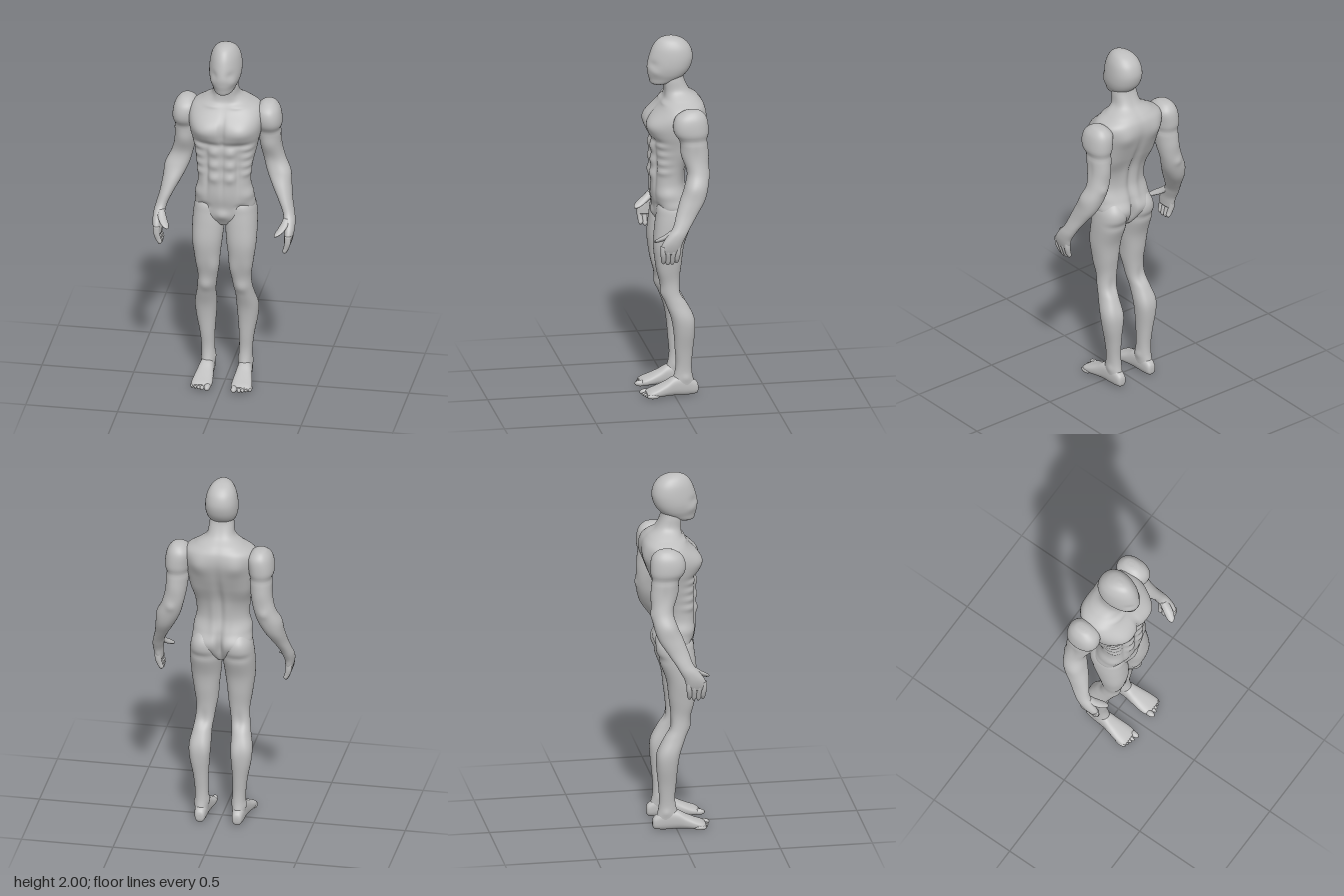
import * as THREE from 'three';

const skin = new THREE.MeshStandardMaterial({ color: 0xbebebe });
skin.name = 'grey skin';

// Smooth interpolation through rows of numbers
function sample(rows, u) {
  const i = Math.min(Math.floor(u), rows.length - 2), f = u - i;
  const at = k => rows[Math.max(0, Math.min(rows.length - 1, k))];
  const [a, b, c, d] = [at(i - 1), at(i), at(i + 1), at(i + 2)];
  return b.map((_, k) => b[k] + 0.5 * f * (c[k] - a[k]
    + f * (2 * a[k] - 5 * b[k] + 4 * c[k] - d[k] + f * (3 * (b[k] - c[k]) + d[k] - a[k]))));
}

// Loft of rounded sections. Row: [position, xMin, xMax, depthMin, depthMax].
// Bumps [x, y, z, rx, ry, rz, height] swell or groove the surface like muscles.
function loft(name, rows, { along = 'y', n = 2.2, taper = 0, bumps = [], side = 1, seg = 40, steps = 6 } = {}) {
  const pos = [], idx = [], rings = (rows.length - 1) * steps + 1;
  const pow = v => Math.sign(v) * Math.abs(v) ** (2 / n);
  const put = (x, t, d) => pos.push(x * side, ...(along === 'y' ? [t, d] : [d, t]));
  for (let r = 0; r < rings; r++) {
    const [t, x0, x1, d0, d1] = sample(rows, r / steps);
    const cx = (x0 + x1) / 2, cd = (d0 + d1) / 2;
    for (let s = 0; s < seg; s++) {
      const a = s / seg * Math.PI * 2, c = pow(Math.cos(a)), q = pow(Math.sin(a));
      let x = cx + c * (x1 - x0) / 2 * (1 - taper * q), d = cd + q * (d1 - d0) / 2;
      let push = 0;
      for (const [bx, by, bz, rx, ry, rz, h] of bumps) {
        push += h * Math.exp(-(((x - bx) / rx) ** 2) - ((t - by) / ry) ** 2 - ((d - bz) / rz) ** 2);
      }
      // push along the section's own outward direction
      const nx = (x - cx) / (x1 - x0) ** 2, nd = (d - cd) / (d1 - d0) ** 2, l = Math.hypot(nx, nd) || 1;
      put(x + push * nx / l, t, d + push * nd / l);
    }
  }
  for (const row of [rows[0], rows[rows.length - 1]]) put((row[1] + row[2]) / 2, row[0], (row[3] + row[4]) / 2);
  const first = rings * seg, last = first + 1;
  for (let s = 0; s < seg; s++) {
    const s2 = (s + 1) % seg;
    for (let r = 0; r < rings - 1; r++) {
      const a = r * seg + s, b = r * seg + s2;
      idx.push(a, a + seg, b, b, a + seg, b + seg);
    }
    idx.push(first, s, s2, last, (rings - 1) * seg + s2, (rings - 1) * seg + s);
  }
  // turn the faces outward whichever way the loft runs
  let volume = 0;
  const v = k => new THREE.Vector3().fromArray(pos, k * 3);
  for (let i = 0; i < idx.length; i += 3) volume += v(idx[i]).dot(v(idx[i + 1]).cross(v(idx[i + 2])));
  if (volume < 0) idx.reverse();
  const g = new THREE.BufferGeometry();
  g.setAttribute('position', new THREE.Float32BufferAttribute(pos, 3));
  g.setIndex(idx);
  g.computeVertexNormals();
  const mesh = new THREE.Mesh(g, skin);
  mesh.name = name;
  return mesh;
}

const mirrored = list => list.flatMap(b => [b, [-b[0], ...b.slice(1)]]);

function makeTorso() {
  const rows = [
    [0.95, 0.04, -0.05, 0.07], [1.0, 0.13, -0.08, 0.095], [1.06, 0.162, -0.095, 0.102], [1.12, 0.155, -0.08, 0.11],
    [1.2, 0.143, -0.06, 0.115], [1.3, 0.147, -0.075, 0.112], [1.4, 0.165, -0.12, 0.112], [1.48, 0.188, -0.152, 0.125],
    [1.56, 0.2, -0.175, 0.118], [1.62, 0.188, -0.172, 0.075], [1.66, 0.13, -0.147, 0.045], [1.7, 0.078, -0.1, 0.037],
    [1.76, 0.066, -0.07, 0.04], [1.82, 0.06, -0.06, 0.04],
  ].map(([y, w, b, f]) => [y, -w, w, b, f]);
  const bumps = mirrored([
    [0.095, 1.525, 0.13, 0.08, 0.055, 0.09, 0.03],    // chest
    [0.1, 1.44, 0.13, 0.09, 0.018, 0.06, -0.012],     // chest crease
    [0.08, 1.045, -0.1, 0.06, 0.06, 0.06, 0.016],     // seat
    [0.14, 1.38, -0.06, 0.05, 0.09, 0.07, 0.012],     // side of back
    [0.1, 1.55, -0.17, 0.05, 0.06, 0.05, 0.012],      // shoulder blade
    [0.035, 1.22, -0.07, 0.025, 0.14, 0.05, 0.01],    // lower back
    [0.13, 1.14, 0.05, 0.04, 0.035, 0.07, 0.01],      // flank
    [0.085, 1.28, 0.1, 0.014, 0.13, 0.05, -0.01],     // edge of abdomen
    [0.1, 1.07, 0.08, 0.03, 0.018, 0.05, -0.01],      // hip crease
    [0.07, 1.645, 0.05, 0.05, 0.012, 0.06, 0.008],    // collar bone
    [0.04, 1.73, 0.02, 0.02, 0.06, 0.03, 0.006],      // front of neck
  ]);
  for (const y of [1.395, 1.32, 1.245]) bumps.push(...mirrored([[0.042, y, 0.12, 0.032, 0.028, 0.06, 0.014]]));
  for (let i = 0; i < 4; i++) bumps.push(...mirrored([[0.13, 1.27 + i * 0.05, 0.07, 0.035, 0.018, 0.045, 0.009]]));
  bumps.push(
    [0, 1.35, -0.1, 0.02, 0.22, 0.1, -0.016],         // spine
    [0, 1.04, -0.1, 0.014, 0.07, 0.06, -0.03],        // cleft
    [0, 1.52, 0.13, 0.014, 0.08, 0.06, -0.018],       // breastbone
    [0, 1.28, 0.12, 0.01, 0.14, 0.05, -0.01],         // middle of abdomen
    [0, 1.13, 0.11, 0.08, 0.06, 0.05, 0.006],
    [0, 1.02, 0.09, 0.035, 0.03, 0.05, 0.014]);
  return loft('torso', rows, { n: 2.4, bumps, seg: 128, steps: 10 });
}

function makeHead() {
  const rows = [
    [2.0, 0.006, 0.0, 0.018], [1.993, 0.033, -0.035, 0.05], [1.975, 0.056, -0.072, 0.078], [1.94, 0.075, -0.103, 0.102],
    [1.89, 0.085, -0.117, 0.12], [1.84, 0.086, -0.108, 0.131], [1.8, 0.078, -0.085, 0.128],
    [1.77, 0.064, -0.05, 0.121], [1.745, 0.048, 0.005, 0.114], [1.734, 0.028, 0.04, 0.1],
  ].map(([y, w, b, f]) => [y, -w, w, b, f]);
  const bumps = mirrored([[0.045, 1.855, 0.11, 0.025, 0.022, 0.04, -0.006], [0.055, 1.81, 0.09, 0.02, 0.02, 0.04, 0.004]]);
  return loft('head', rows, { n: 2.1, taper: 0.16, bumps, seg: 64, steps: 8 });
}

function makeLeg(side) {
  const leg = new THREE.Group();
  leg.name = side > 0 ? 'leftLeg' : 'rightLeg';
  const bumps = [
    [0.13, 0.83, 0.06, 0.05, 0.12, 0.06, 0.007],      // outer thigh
    [0.055, 0.7, 0.06, 0.03, 0.06, 0.05, 0.01],       // inner thigh above knee
    [0.13, 0.7, 0.06, 0.03, 0.06, 0.05, 0.006],
    [0.097, 0.58, 0.07, 0.03, 0.035, 0.03, 0.01],     // kneecap
    [0.097, 0.58, -0.04, 0.025, 0.05, 0.03, -0.008],  // hollow of knee
    [0.08, 0.42, -0.1, 0.03, 0.08, 0.04, 0.007],      // calf
    [0.145, 0.43, -0.08, 0.03, 0.08, 0.04, 0.005],
    [0.1, 0.98, -0.09, 0.08, 0.02, 0.04, -0.008],     // seat fold
    [0.065, 0.11, -0.05, 0.02, 0.02, 0.025, 0.006],   // ankle bones
    [0.14, 0.1, -0.06, 0.02, 0.02, 0.025, 0.006],
  ];
  leg.add(loft('legMuscles', [
    [1.12, 0.05, 0.13, -0.06, 0.06], [1.07, 0.02, 0.16, -0.1, 0.09], [1.02, 0.01, 0.171, -0.107, 0.098],
    [0.95, 0.004, 0.175, -0.088, 0.106], [0.85, 0.012, 0.171, -0.053, 0.112], [0.75, 0.025, 0.157, -0.04, 0.1],
    [0.66, 0.036, 0.144, -0.03, 0.08], [0.58, 0.046, 0.148, -0.036, 0.066], [0.52, 0.054, 0.157, -0.068, 0.048],
    [0.44, 0.055, 0.171, -0.102, 0.02], [0.36, 0.06, 0.166, -0.108, 0.006], [0.26, 0.066, 0.148, -0.1, -0.002],
    [0.18, 0.067, 0.139, -0.094, -0.008], [0.12, 0.065, 0.137, -0.097, 0.0], [0.06, 0.066, 0.138, -0.11, 0.02],
    [0.02, 0.075, 0.13, -0.1, 0.02]], { bumps, side, seg: 56 }));
  leg.add(loft('foot', [
    [-0.13, 0.09, 0.112, 0.025, 0.05], [-0.118, 0.075, 0.128, 0.006, 0.075], [-0.06, 0.067, 0.138, 0, 0.11],
    [0.0, 0.063, 0.144, 0.002, 0.108], [0.05, 0.057, 0.154, 0.002, 0.08], [0.1, 0.052, 0.163, 0, 0.056],
    [0.135, 0.054, 0.163, 0, 0.042], [0.155, 0.065, 0.15, 0.008, 0.03]], { along: 'z', n: 2.5, side }));
  // five toes, the big one on the inside
  for (let i = 0; i < 5; i++) {
    const r = i ? 0.0115 : 0.017, toe = new THREE.Mesh(new THREE.SphereGeometry(1, 16, 12), skin);
    toe.name = 'toe';
    toe.scale.set(r, i ? 0.013 : 0.017, 0.033);
    toe.position.set(side * (i ? 0.082 + i * 0.0185 : 0.073), i ? 0.014 : 0.018, 0.152 - i * 0.007);
    leg.add(toe);
  }
  return leg;
}

function makeArm(side) {
  const arm = new THREE.Group();
  arm.name = side > 0 ? 'leftArm' : 'rightArm';
  const bumps = [
    [0.24, 1.57, -0.01, 0.05, 0.06, 0.05, 0.008],     // front of shoulder
    [0.235, 1.485, -0.07, 0.15, 0.018, 0.12, -0.009], // shoulder crease
    [0.23, 1.41, -0.02, 0.04, 0.05, 0.04, 0.012],     // front of upper arm
    [0.24, 1.42, -0.16, 0.04, 0.06, 0.04, 0.008],     // back of upper arm
    [0.26, 1.4, -0.09, 0.05, 0.06, 0.018, -0.005],
    [0.255, 1.29, -0.165, 0.025, 0.025, 0.03, 0.008], // elbow
    [0.33, 1.24, -0.06, 0.04, 0.05, 0.05, 0.008],     // outer forearm
  ];
  arm.add(loft('armMuscles', [
    [1.648, 0.21, 0.235, -0.09, -0.06], [1.638, 0.185, 0.26, -0.125, -0.025], [1.6, 0.155, 0.286, -0.155, 0.015],
    [1.53, 0.16, 0.297, -0.162, 0.022], [1.45, 0.168, 0.29, -0.152, -0.015], [1.37, 0.178, 0.294, -0.158, -0.028],
    [1.3, 0.193, 0.31, -0.16, -0.042], [1.23, 0.213, 0.337, -0.152, -0.025], [1.16, 0.246, 0.35, -0.13, 0.005],
    [1.09, 0.285, 0.361, -0.085, 0.03], [1.03, 0.314, 0.376, -0.045, 0.05], [0.99, 0.324, 0.385, -0.022, 0.08],
    [0.95, 0.332, 0.386, 0.0, 0.108], [0.915, 0.334, 0.38, 0.01, 0.122], [0.885, 0.335, 0.37, 0.022, 0.118]],
  { bumps, side, seg: 56 }));
  // four fingers hanging side by side
  for (let i = 0; i < 4; i++) {
    const z = 0.027 + i * 0.027, tip = 0.816 + Math.abs(i - 1.6) * 0.007, lean = (1.5 - i) * 0.003;
    arm.add(loft('finger', [[0.93, 0.34, 0.376, z - 0.015, z + 0.015], [0.89, 0.34, 0.374, z - 0.015, z + 0.015],
      [0.855, 0.333, 0.363, z + lean - 0.014, z + lean + 0.014], [tip + 0.012, 0.328, 0.354, z + lean - 0.012, z + lean + 0.012],
      [tip, 0.335, 0.346, z + lean - 0.005, z + lean + 0.005]], { side, seg: 16, steps: 4 }));
  }
  arm.add(loft('thumb', [[1.01, 0.325, 0.36, 0.02, 0.065], [0.985, 0.315, 0.358, 0.04, 0.095], [0.962, 0.3, 0.343, 0.07, 0.128],
    [0.945, 0.288, 0.322, 0.1, 0.146], [0.935, 0.288, 0.303, 0.122, 0.145]], { side, seg: 20 }));
  return arm;
}

export function createModel() {
  const figure = new THREE.Group();
  figure.name = 'figure';
  figure.add(makeTorso(), makeHead());
  for (const side of [1, -1]) figure.add(makeLeg(side), makeArm(side));
  return figure;
}
